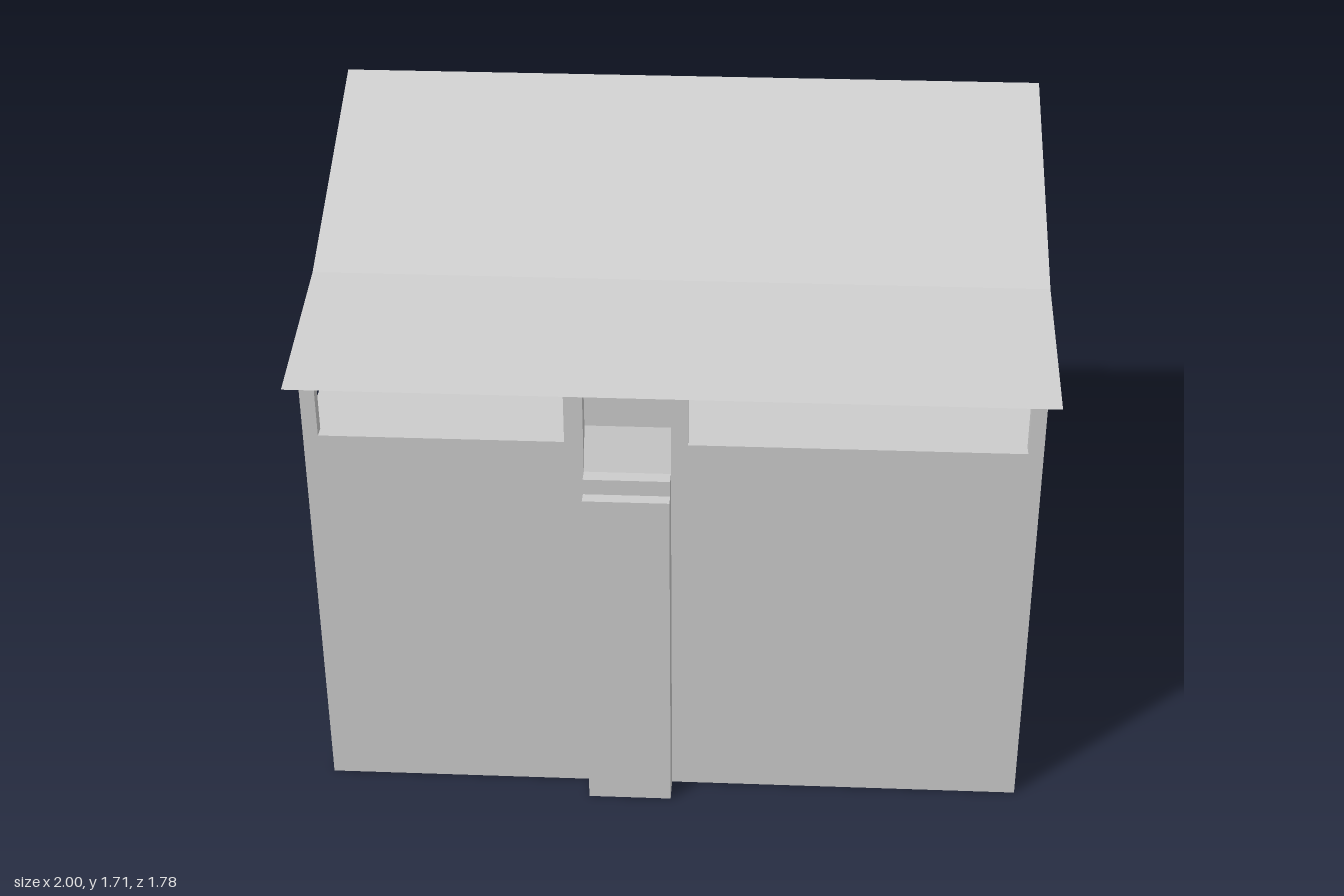
import * as THREE from 'three';

const W = 0.97, FRONT = 0.815, BACK = -0.8, EAVE = 1.3, SILL = 1.125;
const POST = 0.04;            // thickness of the porch posts and sills

export function createModel() {
  const group = new THREE.Group();
  const mat = new THREE.MeshStandardMaterial({ color: 0xcccccc, flatShading: true, side: THREE.DoubleSide });

  const add = (name, geo, x = 0, y = 0, z = 0) => {
    const m = new THREE.Mesh(geo, mat);
    m.name = name;
    m.position.set(x, y, z);
    group.add(m);
    return m;
  };
  const poly = pts => new THREE.Shape(pts.map(p => new THREE.Vector2(...p)));
  // Sheet facing front, outline given as [x, y]
  const frontSheet = (name, pts, z) => add(name, new THREE.ShapeGeometry(poly(pts)), 0, 0, z);
  // Sheet facing sideways, outline given as [z, y]
  const sideSheet = (name, pts, x) =>
    add(name, new THREE.ShapeGeometry(poly(pts.map(([z, y]) => [-z, y]))).rotateY(Math.PI / 2), x);
  // Level sheet, outline given as [x, z]
  const levelSheet = (name, pts, y) =>
    add(name, new THREE.ShapeGeometry(poly(pts.map(([x, z]) => [x, -z]))).rotateX(-Math.PI / 2), 0, y);
  // Solid running across the house, profile given as [z, y]
  const across = (name, pts, halfWidth) =>
    add(name, new THREE.ExtrudeGeometry(poly(pts.map(([z, y]) => [-z, y])), { depth: 2 * halfWidth, bevelEnabled: false })
      .translate(0, 0, -halfWidth).rotateY(Math.PI / 2));
  const box = (name, x0, x1, y0, y1, z0, z1) =>
    add(name, new THREE.BoxGeometry(x1 - x0, y1 - y0, z1 - z0), (x0 + x1) / 2, (y0 + y1) / 2, (z0 + z1) / 2);

  // Outer walls: thin sheets, open underneath
  frontSheet('backWall', [[-W, 0], [W, 0], [W, EAVE], [-W, EAVE]], BACK);
  frontSheet('frontWallRight', [[-W, 0], [-0.23, 0], [-0.23, EAVE], [-0.28, EAVE], [-0.28, SILL],
    [-0.93, SILL], [-0.93, EAVE], [-W, EAVE]], FRONT);
  frontSheet('frontWallLeft', [[0, 0], [W, 0], [W, EAVE], [0.93, EAVE], [0.93, SILL],
    [0.045, SILL], [0.045, EAVE], [0, EAVE]], FRONT);
  for (const [name, x, z] of [['rightWall', -W, 0.55], ['leftWall', W, 0.41]])
    sideSheet(name, [[FRONT, 0], [FRONT, EAVE], [0.78, EAVE], [0.78, SILL], [z, SILL], [z, EAVE],
      [BACK, EAVE], [BACK, 0]], x);

  // Porch posts
  for (const [x0, x1] of [[-W, -W + POST], [-0.28, -0.23], [0, 0.045], [W - POST, W]])
    box('porchPost', x0, x1, SILL, EAVE, 0.78, FRONT);

  // Porch floor and recessed walls
  levelSheet('porchFloor', [[-W, FRONT], [-0.23, FRONT], [-0.23, 0.77], [0, 0.77], [0, FRONT], [W, FRONT],
    [W, 0.41], [0.68, 0.41], [0.68, 0.55], [-W, 0.55]], SILL);
  frontSheet('porchBackWall', [[-W, SILL], [-0.58, SILL], [-0.58, 1.24], [-0.39, 1.24], [-0.39, SILL],
    [0.68, SILL], [0.68, EAVE], [-W, EAVE]], 0.55);
  frontSheet('porchCornerWall', [[0.68, SILL], [W, SILL], [W, EAVE], [0.68, EAVE]], 0.41);
  sideSheet('porchReturnWall', [[0.55, SILL], [0.55, EAVE], [0.41, EAVE], [0.41, SILL]], 0.68);

  // Niche in the porch back wall
  const nicheZ = 0.51;
  frontSheet('nicheBack', [[-0.58, SILL], [-0.39, SILL], [-0.39, 1.24], [-0.58, 1.24]], nicheZ);
  for (const x of [-0.58, -0.39])
    sideSheet('nicheSide', [[0.55, SILL], [0.55, 1.24], [nicheZ, 1.24], [nicheZ, SILL]], x);
  for (const y of [SILL, 1.24])
    levelSheet('nicheLevel', [[-0.58, 0.55], [-0.39, 0.55], [-0.39, nicheZ], [-0.58, nicheZ]], y);

  // Stepped chimney breast, hollow like the walls
  const steps = [[0.89, 0], [0.89, 0.99], [0.855, 0.99], [0.855, 1.035], [FRONT, 1.035]];
  const flue = [[FRONT, 1.035], [0.77, 1.15], [0.77, EAVE]];
  const verts = [];
  const path = [...steps, ...flue.slice(1)];
  for (let i = 0; i < path.length - 1; i++) {
    const [z0, y0] = path[i], [z1, y1] = path[i + 1];
    const a = [-0.23, y0, z0], b = [0, y0, z0], c = [0, y1, z1], d = [-0.23, y1, z1];
    verts.push(...a, ...b, ...c, ...a, ...c, ...d);
  }
  const breast = new THREE.BufferGeometry();
  breast.setAttribute('position', new THREE.Float32BufferAttribute(verts, 3));
  breast.computeVertexNormals();
  add('chimneyBreast', breast);
  for (const x of [-0.23, 0]) {
    sideSheet('chimneyCheek', [...steps, [FRONT, 0]], x);
    sideSheet('flueJamb', [...flue, [FRONT, EAVE]], x);
  }

  // Kinked gable roof and the attic it covers
  const outer = [[0.88, EAVE], [0.405, 1.395], [-0.28, 1.705], [-0.887, EAVE]];
  const inner = [[0.68, EAVE], [0.35, 1.385], [-0.265, 1.67], [-0.54, 1.495], [-0.815, EAVE]];
  across('roof', [...outer, ...inner.slice().reverse()], 1);
  across('atticGables', inner, 0.965);

  return group;
}
